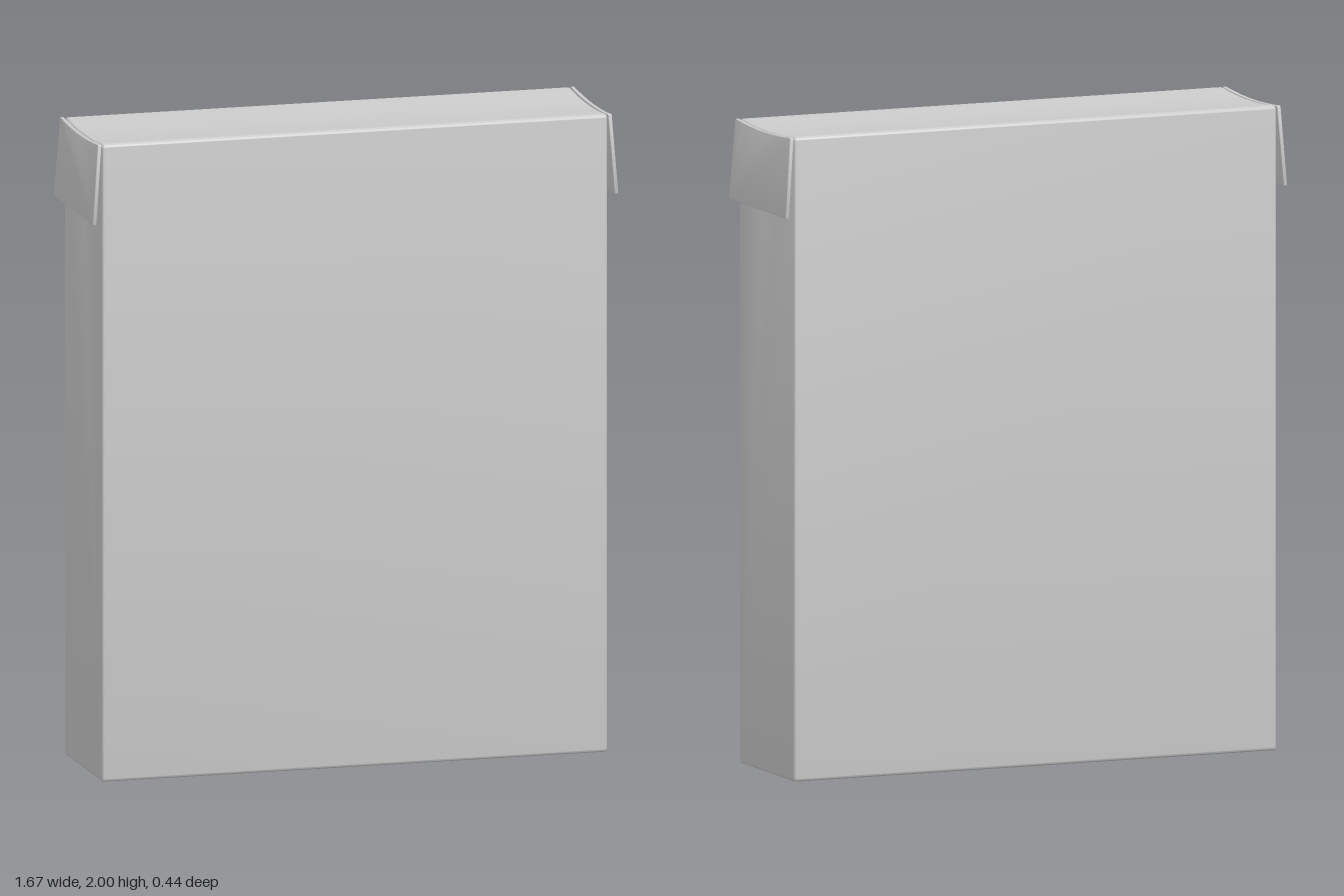
import * as THREE from 'three';
import { toCreasedNormals } from 'three/addons/utils/BufferGeometryUtils.js';

// Side outline: half widths at top and bottom, rounded corners, top edge sagging in the middle
function sideOutline(topHalf, bottomHalf, y0, y1, r, sag) {
  const s = new THREE.Shape();
  s.moveTo(-bottomHalf + r, y0);
  s.lineTo(bottomHalf - r, y0);
  s.quadraticCurveTo(bottomHalf, y0, bottomHalf, y0 + r);
  s.lineTo(topHalf, y1 - r);
  s.quadraticCurveTo(topHalf, y1, topHalf - r, y1);
  s.quadraticCurveTo(0, y1 - 2 * sag, -topHalf + r, y1);
  s.quadraticCurveTo(-topHalf, y1, -topHalf, y1 - r);
  s.lineTo(-bottomHalf, y0 + r);
  s.quadraticCurveTo(-bottomHalf, y0, -bottomHalf + r, y0);
  return s;
}

// Extrude an outline along x, centred, with softened ends
function extrudeAlongX(shape, width, bevel) {
  const g = new THREE.ExtrudeGeometry(shape, {
    depth: width - 2 * bevel, bevelEnabled: true, bevelThickness: bevel,
    bevelSize: bevel, bevelOffset: -bevel, bevelSegments: 3, curveSegments: 8,
  });
  g.translate(0, 0, -(width - 2 * bevel) / 2);
  g.rotateY(Math.PI / 2);
  return toCreasedNormals(g, 0.6);
}

export function createModel() {
  const model = new THREE.Group();
  model.name = 'carton';
  const material = new THREE.MeshStandardMaterial({ color: 0xcccccc });

  // Carton body with a slightly sagging top
  const body = new THREE.Mesh(
    extrudeAlongX(sideOutline(0.213, 0.213, 0, 2, 0.014, 0.01), 1.61, 0.008), material);
  body.name = 'cartonBody';
  model.add(body);

  // Side flaps hinged at the top edges, leaning outwards
  const flapGeometry = extrudeAlongX(
    sideOutline(0.213, 0.221, -0.25, 0, 0.004, 0.01), 0.012, 0.003);
  for (const side of [1, -1]) {
    const flap = new THREE.Mesh(flapGeometry, material);
    flap.name = side > 0 ? 'leftFlap' : 'rightFlap';
    flap.position.set(side * 0.813, 2, 0);
    flap.rotation.z = side * 0.075;
    model.add(flap);
  }
  return model;
}
